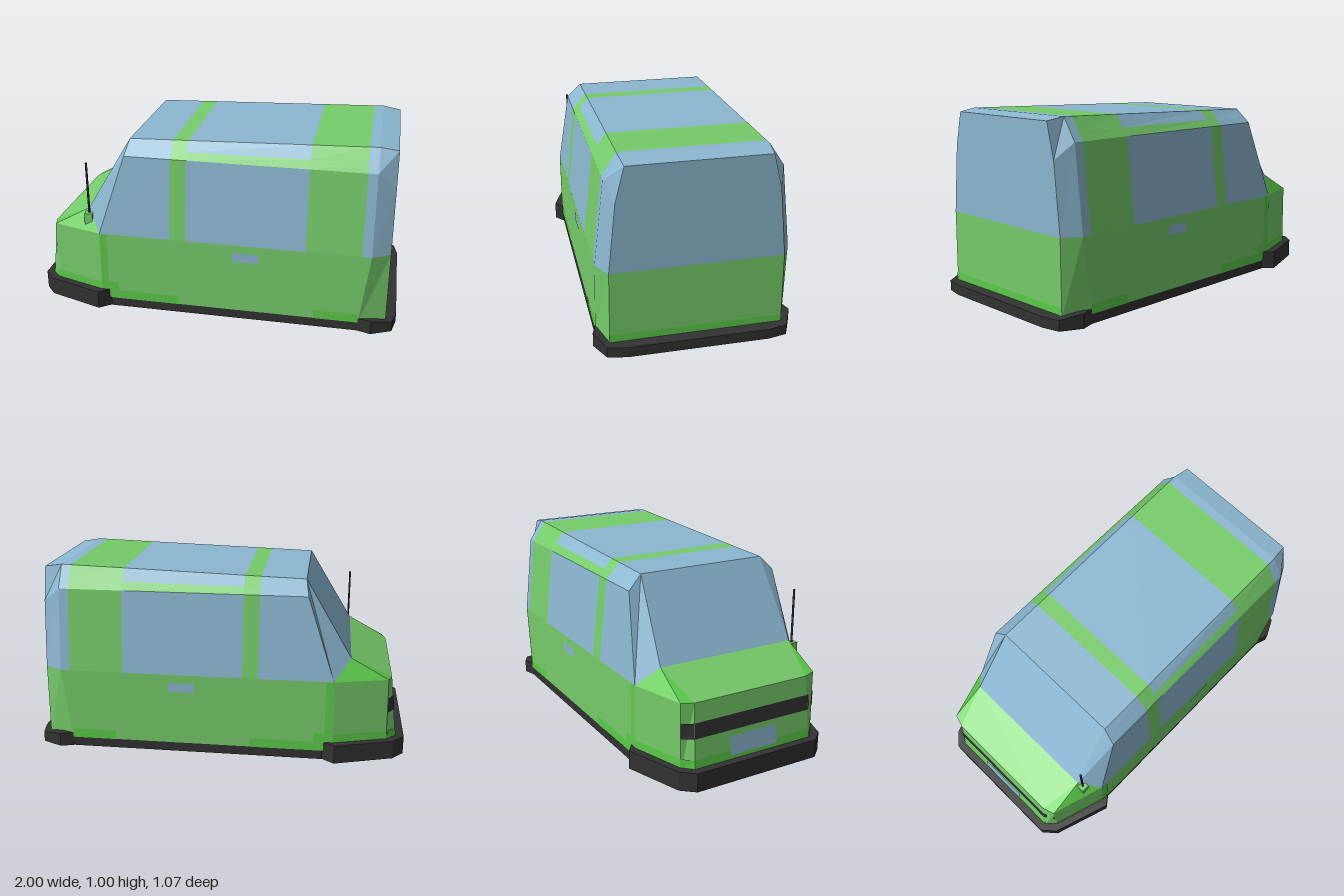
import * as THREE from 'three';

export function createModel() {
  const model = new THREE.Group();
  const mat = (name, color) => {
    const m = new THREE.MeshStandardMaterial({ color });
    m.name = name;
    return m;
  };
  const green = mat('body green', 0x76cc6a);
  const trim = mat('bright green trim', 0x5ccb4a);
  const glass = mat('window blue', 0x8cb8d2);
  const black = mat('bumper black', 0x333232);

  const add = (name, geometry, material) => {
    const mesh = new THREE.Mesh(geometry, material);
    mesh.name = name;
    model.add(mesh);
    return mesh;
  };

  // Flat convex panel facing away from the middle of the van, optionally lifted off the surface
  const panel = (name, material, points, lift = 0) => {
    const v = points.map((p) => new THREE.Vector3(...p));
    const centre = v.reduce((s, p) => s.add(p), new THREE.Vector3()).divideScalar(v.length);
    const normal = new THREE.Vector3();
    v.forEach((p, i) => normal.add(p.clone().cross(v[(i + 1) % v.length])));
    normal.normalize();
    if (normal.dot(centre.sub(new THREE.Vector3(0, 0.4, 0))) < 0) {
      v.reverse();
      normal.negate();
    }
    v.forEach((p) => p.addScaledVector(normal, lift));
    const tris = [];
    for (let i = 1; i < v.length - 1; i++) tris.push(v[0], v[i], v[i + 1]);
    const geo = new THREE.BufferGeometry().setFromPoints(tris);
    geo.computeVertexNormals();
    add(name, geo, material);
  };
  const flip = ([x, y, z]) => [x, y, -z];
  const pair = (name, material, points, lift) => {
    panel(name + 'Left', material, points, lift);
    panel(name + 'Right', material, points.map(flip), lift);
  };
  // Panel spanning the full width between its edge points and their mirror images
  const across = (name, material, a, b, lift) => panel(name, material, [a, b, flip(b), flip(a)], lift);
  const mix = (a, b, t) => a.map((n, i) => n + (b[i] - n) * t);
  const atY = (a, b, y) => mix(a, b, (y - a[1]) / (b[1] - a[1]));

  // Key points of the lower body
  const nose0 = [-0.96, 0.05, 0.35], nose1 = [-0.92, 0.43, 0.335];
  const corner0 = [-0.905, 0.05, 0.4], corner1 = [-0.9, 0.435, 0.4];
  const door0 = [-0.62, 0.05, 0.49], door1 = [-0.615, 0.44, 0.49];
  const rear0 = [0.8, 0.05, 0.49], rear1 = [0.85, 0.44, 0.49];
  const tail0 = [0.945, 0.05, 0.44], tail1 = [0.945, 0.44, 0.437];
  const cowl = [-0.7, 0.545, 0.393];

  // Lower body shell
  across('nose', green, nose0, nose1);
  pair('noseCorner', green, [nose0, corner0, corner1, nose1]);
  pair('fender', green, [corner0, door0, door1, corner1]);
  pair('side', green, [door0, rear0, rear1, door1]);
  pair('rearCorner', green, [rear0, tail0, tail1, rear1]);
  across('tailgate', green, tail0, tail1);
  across('hood', green, nose1, cowl);
  pair('hoodEdge', trim, [nose1, corner1, cowl]);
  pair('hoodSide', trim, [corner1, door1, cowl]);

  // Cabin edges along x: sill, shoulder, strip on the chamfer, roof edge
  const roofY = (x) => 0.955 + (x + 0.455) * 0.0307;
  const section = (x) => {
    const shoulder = [x, 0.88, 0.44], roof = [x, roofY(x), 0.365];
    return [[x, 0.44, 0.49], shoulder, mix(shoulder, roof, 0.4), roof];
  };
  const front = section(-0.455);
  front[0] = door1;
  front[1] = [-0.47, 0.88, 0.44];
  front[2] = mix(front[1], front[3], 0.4);
  const stations = [front, ...[-0.22, -0.135, 0.51, 0.8, 0.85].map(section)];
  const bays = ['frontWindow', 'doorPillar', 'middleWindow', 'rearPillar', 'rearWindow'];
  bays.forEach((name, i) => {
    const a = stations[i], b = stations[i + 1];
    const m = i % 2 ? green : glass;
    pair(name, m, [a[0], b[0], b[1], a[1]]);
    pair(name + 'Strip', i === 2 ? green : m, [a[1], b[1], b[2], a[2]]);
    pair(name + 'Upper', m, [a[2], b[2], b[3], a[3]]);
    across(name + 'Roof', m, a[3], b[3]);
  });

  // Windscreen and its corner panes
  across('windscreen', glass, cowl, front[3]);
  pair('windscreenCorner', glass, [cowl, door1, front[1], front[3]]);

  // Rear glass, rear corner panes and sloping roof end
  const back = stations[5];
  const tail2 = [0.945, 0.8, 0.4], tail3 = [0.945, 0.98, 0.355];
  across('rearGlassLower', glass, tail1, tail2);
  across('rearGlassUpper', glass, tail2, tail3);
  pair('rearCornerPane', glass, [back[0], tail1, tail2, back[1]]);
  pair('rearCornerPaneUpper', glass, [back[1], tail2, tail3, back[3]]);
  across('roofEnd', glass, back[3], tail3);

  // Painted bands around the nose and fenders
  const noseAt = (y) => atY(nose0, nose1, y);
  const cornerAt = (y) => atY(corner0, corner1, y);
  const doorAt = (y) => atY(door0, door1, y);
  for (const [name, m, lo, hi] of [['grille', black, 0.25, 0.33], ['lowerBand', trim, 0.09, 0.145]]) {
    across(name, m, noseAt(lo), noseAt(hi), 0.003);
    pair(name + 'Corner', m, [noseAt(lo), cornerAt(lo), cornerAt(hi), noseAt(hi)], 0.003);
  }
  pair('fenderBand', trim, [cornerAt(0.09), doorAt(0.09), doorAt(0.145), cornerAt(0.145)], 0.003);
  panel('numberPlate', glass, [[0.12, -0.14], [0.12, 0.14], [0.22, 0.14], [0.22, -0.14]].map(([y, z]) => [noseAt(y)[0], y, z]), 0.004);

  // Painted side details
  const sidePlate = (name, m, x0, x1, y0, y1) =>
    pair(name, m, [[x0, y0, 0.49], [x1, y0, 0.49], [x1, y1, 0.49], [x0, y1, 0.49]], 0.002);
  sidePlate('doorSeam', trim, -0.615, -0.575, 0.15, 0.44);
  sidePlate('frontArch', trim, -0.62, -0.52, 0.1, 0.15);
  sidePlate('frontSill', trim, -0.62, -0.18, 0.05, 0.1);
  sidePlate('rearSill', trim, 0.56, 0.8, 0.05, 0.1);
  sidePlate('doorHandle', glass, 0.12, 0.26, 0.345, 0.395);
  across('tailgateSill', trim, [0.945, 0.05, 0.44], [0.945, 0.1, 0.44], 0.002);

  // Skirt and bumpers: half outlines in x and z, mirrored and raised
  const slab = (name, half, height) => {
    const outline = [...half, ...half.map(([x, z]) => [x, -z]).reverse()];
    const shape = new THREE.Shape(outline.map(([x, z]) => new THREE.Vector2(x, z)));
    const geo = new THREE.ExtrudeGeometry(shape, { depth: height, bevelEnabled: false });
    geo.rotateX(-Math.PI / 2);
    return add(name, geo, black);
  };
  slab('frontBumper', [[-1, 0.36], [-0.94, 0.43], [-0.63, 0.535], [-0.565, 0.485]], 0.1);
  slab('skirt', [[-0.565, 0.489], [0.8, 0.489]], 0.05);
  const rearBumper = slab('rearBumper', [[0.8, 0.49], [0.87, 0.512], [0.98, 0.46], [1, 0.36]], 0.075);
  const pos = rearBumper.geometry.attributes.position;
  for (let i = 0; i < pos.count; i++) {
    if (pos.getY(i) > 0.01 && pos.getX(i) > 0.95) pos.setY(i, 0.055);
  }
  rearBumper.geometry.computeVertexNormals();

  // Aerial on the left fender
  add('aerialBase', new THREE.BoxGeometry(0.045, 0.08, 0.045), green).position.set(-0.69, 0.49, 0.42);
  add('aerialRod', new THREE.CylinderGeometry(0.006, 0.006, 0.3, 6), black).position.set(-0.69, 0.67, 0.42);

  return model;
}
